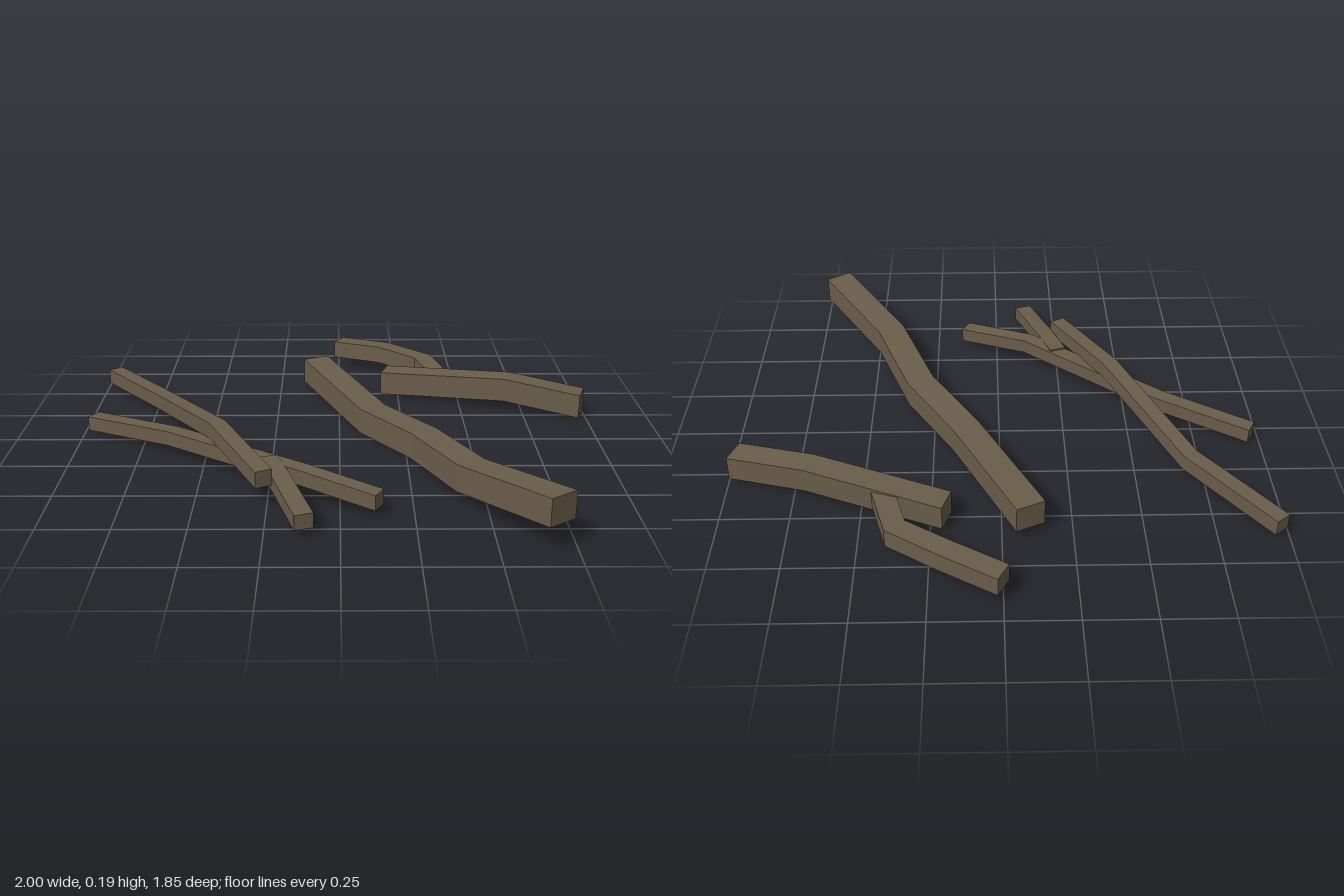
import * as THREE from 'three';

const bark = new THREE.MeshStandardMaterial({ color: 0x6a5d4a });
bark.name = 'dull brown bark';

// Sweeps a rectangular section along a bent path, with mitred joints and capped ends.
function stick(name, width, height, path) {
  const pts = path.map((p) => new THREE.Vector3(...p));
  const heading = (i) =>
    new THREE.Vector3().subVectors(pts[i + 1], pts[i]).setY(0).normalize();
  const positions = [];
  const index = [];
  const last = pts.length - 1;

  pts.forEach((p, i) => {
    const before = heading(Math.max(i - 1, 0));
    const after = heading(Math.min(i, last - 1));
    const dir = before.clone().add(after).normalize();
    const half = width / 2 / dir.dot(after);
    const sx = dir.z * half;
    const sz = -dir.x * half;
    for (const [u, v] of [[-1, -1], [1, -1], [1, 1], [-1, 1]]) {
      positions.push(p.x + u * sx, p.y + (v * height) / 2, p.z + u * sz);
    }
  });

  // Four side faces for each length of wood
  for (let i = 0; i < last; i++) {
    for (let k = 0; k < 4; k++) {
      const a = i * 4 + k;
      const b = i * 4 + ((k + 1) % 4);
      index.push(a, b, b + 4, a, b + 4, a + 4);
    }
  }
  // Cut ends
  const e = last * 4;
  index.push(0, 2, 1, 0, 3, 2, e, e + 1, e + 2, e, e + 2, e + 3);

  const indexed = new THREE.BufferGeometry();
  indexed.setAttribute('position', new THREE.Float32BufferAttribute(positions, 3));
  indexed.setIndex(index);
  const geometry = indexed.toNonIndexed();
  geometry.computeVertexNormals();
  const mesh = new THREE.Mesh(geometry, bark);
  mesh.name = name;
  return mesh;
}

export function createModel() {
  const model = new THREE.Group();
  model.name = 'scatteredSticks';

  // Thick branch in the middle
  model.add(stick('largeBranch', 0.11, 0.1, [
    [-0.1, 0.087, -0.593], [0.13, 0.055, -0.09], [0.31, 0.07, 0.19],
    [0.445, 0.097, 0.53], [0.695, 0.148, 0.89],
  ]));

  // Forked branch on the left
  const forked = new THREE.Group();
  forked.name = 'forkedBranch';
  forked.add(stick('forkedBranchStem', 0.097, 0.095, [
    [0.192, 0.06, -0.525], [0.69, 0.093, -0.35], [0.982, 0.062, -0.24],
  ]));
  forked.add(stick('forkedBranchTwig', 0.08, 0.072, [
    [0, 0.085, -0.895], [0.2, 0.095, -0.785], [0.365, 0.082, -0.665],
    [0.425, 0.075, -0.45],
  ]));
  model.add(forked);

  // Thin stick resting across the other
  model.add(stick('upperThinStick', 0.062, 0.06, [
    [-0.972, 0.052, -0.612], [-0.7, 0.062, -0.26], [-0.445, 0.142, 0.23],
    [-0.257, 0.114, 0.595],
  ]));

  // Thin stick beneath, with its side twig
  const lower = new THREE.Group();
  lower.name = 'lowerThinStick';
  lower.add(stick('lowerThinStickStem', 0.062, 0.056, [
    [-0.965, 0.05, -0.082], [-0.63, 0.067, 0.11], [-0.13, 0.087, 0.5],
    [0.132, 0.058, 0.642],
  ]));
  lower.add(stick('lowerThinStickTwig', 0.066, 0.054, [
    [-0.25, 0.09, 0.41], [-0.21, 0.084, 0.53], [-0.118, 0.058, 0.8],
  ]));
  model.add(lower);

  return model;
}
